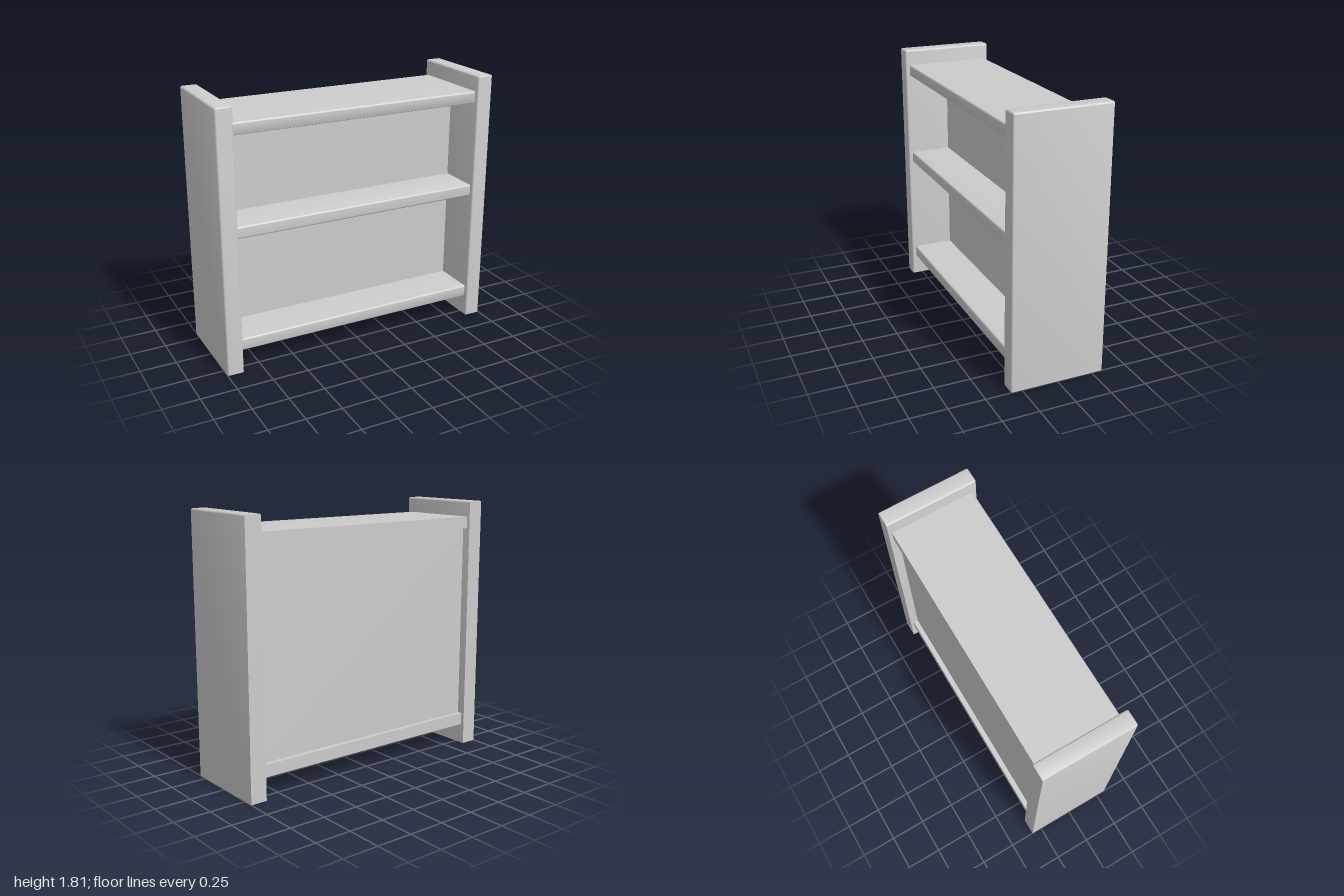
import * as THREE from 'three';
import { toCreasedNormals } from 'three/addons/utils/BufferGeometryUtils.js';

const STEPS = 3; // facets per rounded edge

// Outline at a given inset: rounded top corners, square foot.
// The side between the last two points is the foot, which stays open.
function outline(w, h, r, inset) {
  const pts = [];
  for (const [cx, start] of [[w / 2 - r, 0], [r - w / 2, Math.PI / 2]]) {
    for (let i = 0; i <= STEPS; i++) {
      const a = start + (i / STEPS) * Math.PI / 2;
      pts.push([cx + Math.cos(a) * (r - inset), h - r + Math.sin(a) * (r - inset)]);
    }
  }
  pts.push([inset - w / 2, 0], [w / 2 - inset, 0]);
  return pts;
}

// Upright: square back, softened front and top edges, hollow and open underneath.
function uprightGeometry(w, h, z0, z1, r) {
  const loops = [outline(w, h, r, 0).map(([x, y]) => [x, y, z0])];
  for (let i = 0; i <= STEPS; i++) {
    const a = (i / STEPS) * Math.PI / 2;
    loops.push(outline(w, h, r, r * (1 - Math.cos(a)))
      .map(([x, y]) => [x, y, z1 - r + r * Math.sin(a)]));
  }
  const pos = [];
  const tri = (a, b, c) => pos.push(...a, ...b, ...c);
  const back = loops[0], front = loops[loops.length - 1], n = back.length;
  for (let i = 0; i < n; i++) {
    if (i === n - 2) continue; // open foot
    const j = (i + 1) % n;
    for (let k = 0; k < loops.length - 1; k++) {
      const A = loops[k], B = loops[k + 1];
      tri(A[i], A[j], B[j]);
      tri(A[i], B[j], B[i]);
    }
    tri([0, 0, z0], back[j], back[i]);
    tri([0, 0, z1], front[i], front[j]);
  }
  const g = new THREE.BufferGeometry();
  g.setAttribute('position', new THREE.Float32BufferAttribute(pos, 3));
  return toCreasedNormals(g, 0.7);
}

// Shelf: side profile with a softened front edge, swept along x.
function shelfGeometry(length, y0, y1, z0, z1, r) {
  const s = new THREE.Shape();
  s.moveTo(-z0, y0);
  s.lineTo(-z0, y1);
  s.lineTo(-z1 + r, y1);
  s.quadraticCurveTo(-z1, y1, -z1, y1 - r);
  s.lineTo(-z1, y0 + r);
  s.quadraticCurveTo(-z1, y0, -z1 + r, y0);
  s.closePath();
  const g = new THREE.ExtrudeGeometry(s, { depth: length, bevelEnabled: false, curveSegments: 4 });
  g.rotateY(Math.PI / 2); // profile x becomes -z, depth becomes x
  g.translate(-length / 2, 0, 0);
  return toCreasedNormals(g, 0.7);
}

export function createModel() {
  const group = new THREE.Group();
  group.name = 'shelfUnit';
  const grey = new THREE.MeshStandardMaterial({ color: 0xcccccc, side: THREE.DoubleSide });
  grey.name = 'plain grey';

  const add = (name, geometry, x = 0, y = 0, z = 0) => {
    const m = new THREE.Mesh(geometry, grey);
    m.name = name;
    m.position.set(x, y, z);
    group.add(m);
  };

  // Side uprights
  const upright = uprightGeometry(0.115, 1.81, -0.325, 0.325, 0.012);
  add('leftUpright', upright, 0.9425);
  add('rightUpright', upright, -0.9425);

  // Shelves: top and bottom run the full depth, the middle one stops at the partition
  const span = 1.77;
  add('topShelf', shelfGeometry(span, 1.617, 1.70, -0.3, 0.295, 0.013));
  add('middleShelf', shelfGeometry(span, 0.94, 1.023, 0, 0.295, 0.013));
  add('bottomShelf', shelfGeometry(span, 0.145, 0.23, -0.3, 0.295, 0.013));

  // Thick partition forming the back of the shelves
  add('backPartition', new THREE.BoxGeometry(span, 1.387, 0.27), 0, 0.9235, -0.13);

  // Slim support rail on the partition under the middle shelf
  add('supportRail', new THREE.BoxGeometry(span, 0.035, 0.03), 0, 0.9075, 0.02);

  return group;
}
